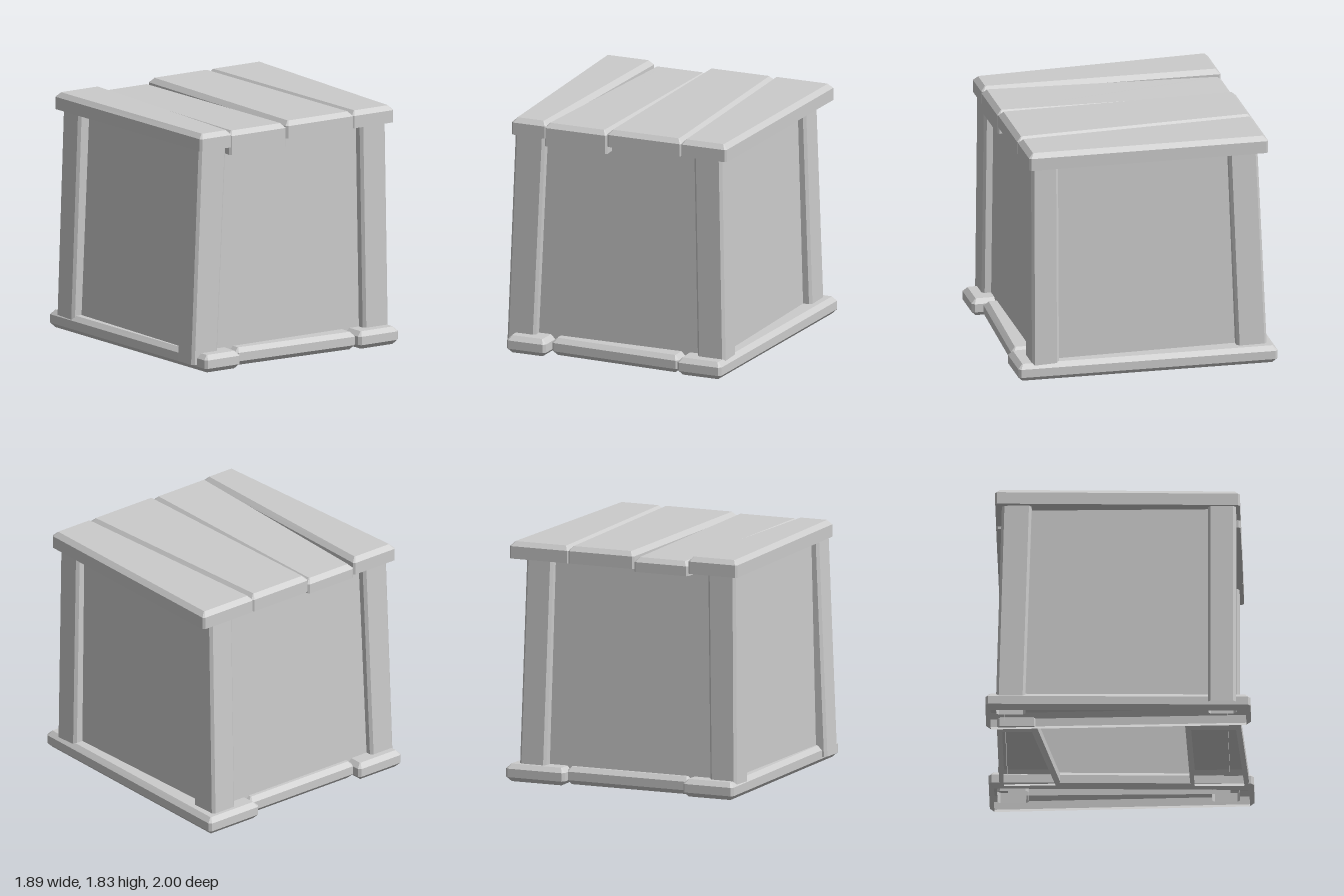
import * as THREE from 'three';

const material = new THREE.MeshStandardMaterial({ color: 0xcccccc, flatShading: true, side: THREE.DoubleSide });

// Corner order, counter-clockwise seen from above
const SIGNS = [[1, 1], [1, -1], [-1, -1], [-1, 1]];

// Eight-point ring: a four-cornered outline [x, y, z] moved inwards, with its corners cut off
function ring(quad, inset, cut, dy = 0) {
  const points = [];
  quad.forEach(([x, y, z], i) => {
    const [sx, sz] = SIGNS[i];
    const px = x - sx * inset, pz = z - sz * inset;
    const pair = [[px - sx * cut, y + dy, pz], [px, y + dy, pz - sz * cut]];
    points.push(...(sx * sz > 0 ? pair : pair.reverse()));
  });
  return points;
}

// Skin a stack of rings, listed from the bottom up
function loft(name, rings, capBottom, capTop) {
  const pos = [];
  const tri = (a, b, c) => pos.push(...a, ...b, ...c);
  const n = rings[0].length;
  for (let r = 0; r < rings.length - 1; r++) {
    for (let i = 0; i < n; i++) {
      const j = (i + 1) % n, lo = rings[r], hi = rings[r + 1];
      tri(lo[i], lo[j], hi[j]);
      tri(lo[i], hi[j], hi[i]);
    }
  }
  const top = rings[rings.length - 1], bottom = rings[0];
  for (let i = 1; i < n - 1; i++) {
    if (capTop) tri(top[0], top[i], top[i + 1]);
    if (capBottom) tri(bottom[0], bottom[i + 1], bottom[i]);
  }
  const geometry = new THREE.BufferGeometry();
  geometry.setAttribute('position', new THREE.Float32BufferAttribute(pos, 3));
  geometry.computeVertexNormals();
  const mesh = new THREE.Mesh(geometry, material);
  mesh.name = name;
  return mesh;
}

// Outline of a board running along z, with its own x range and height at either end
const along = (back, front, zBack, zFront, yBack, yFront) => [
  [front[1], yFront, zFront], [back[1], yBack, zBack], [back[0], yBack, zBack], [front[0], yFront, zFront],
];
// Level rectangle
const rect = (x0, x1, z0, z1, y) => along([x0, x1], [x0, x1], z0, z1, y, y);

export function createModel() {
  const crate = new THREE.Group();
  crate.name = 'crate';
  const bevel = 0.035;

  // Lid boards: bevelled on top, flat below; the second one sits crooked
  const lid = new THREE.Group();
  lid.name = 'lid';
  const lidBoards = [
    { back: [-0.95, -0.54], front: [-0.89, -0.6], low: [1.7, 1.7], high: [1.83, 1.83] },
    { back: [-0.54, -0.09], front: [-0.62, -0.1], low: [1.68, 1.64], high: [1.79, 1.82] },
    { back: [-0.09, 0.46], front: [-0.1, 0.52], low: [1.7, 1.7], high: [1.83, 1.83] },
    { back: [0.45, 0.945], front: [0.51, 0.89], low: [1.7, 1.7], high: [1.83, 1.83] },
  ];
  for (const { back, front, low, high } of lidBoards) {
    const bottom = along(back, front, -0.925, 0.92, ...low);
    const top = along(back, front, -0.925, 0.92, ...high);
    lid.add(loft('lidBoard', [
      ring(bottom, 0, 0.015), ring(top, 0, 0.015, -bevel), ring(top, bevel, 0.005),
    ], true, true));
  }
  crate.add(lid);

  // Base boards: bevelled above and below, open underneath
  const base = new THREE.Group();
  base.name = 'base';
  const baseBoard = (name, quad, height) => base.add(loft(name, [
    ring(quad, bevel, 0.005), ring(quad, 0, 0.02, bevel),
    ring(quad, 0, 0.02, height - bevel), ring(quad, bevel, 0.005, height),
  ], false, true));
  baseBoard('leftRunner', along([0.455, 0.945], [0.515, 0.88], -1, 1, 0, 0), 0.135);
  baseBoard('rightRunner', along([-0.95, -0.53], [-0.9, -0.575], -1, 1, 0, 0), 0.135);
  baseBoard('frontCrossBoard', [[0.51, 0, 0.965], [0.51, 0, 0.52], [-0.56, 0, 0.5], [-0.56, 0, 0.92]], 0.135);
  baseBoard('backCrossBoard', [[0.48, 0, -0.46], [0.48, 0, -0.92], [-0.55, 0, -0.92], [-0.55, 0, -0.62]], 0.135);
  crate.add(base);

  // Leaning corner posts: [x0, x1, z0, z1] at the foot and at the head
  const posts = [
    ['frontLeftPost', [0.635, 0.865, 0.68, 0.89], [0.605, 0.835, 0.68, 0.89]],
    ['frontRightPost', [-0.945, -0.71, 0.68, 0.89], [-0.875, -0.63, 0.68, 0.89]],
    ['backLeftPost', [0.64, 0.86, -0.94, -0.705], [0.61, 0.83, -0.87, -0.645]],
    ['backRightPost', [-0.94, -0.72, -0.92, -0.7], [-0.91, -0.68, -0.875, -0.65]],
  ];
  for (const [name, foot, head] of posts) {
    crate.add(loft(name, [
      ring(rect(...foot, 0.05), 0, 0.02), ring(rect(...head, 1.72), 0, 0.02),
    ], false, true));
  }

  // Recessed side walls, open above and below
  const wallFoot = rect(-0.86, 0.79, -0.86, 0.82, 0.08);
  const wallHead = rect(-0.82, 0.77, -0.81, 0.82, 1.71);
  crate.add(loft('walls', [wallFoot, wallHead], false, false));

  return crate;
}
